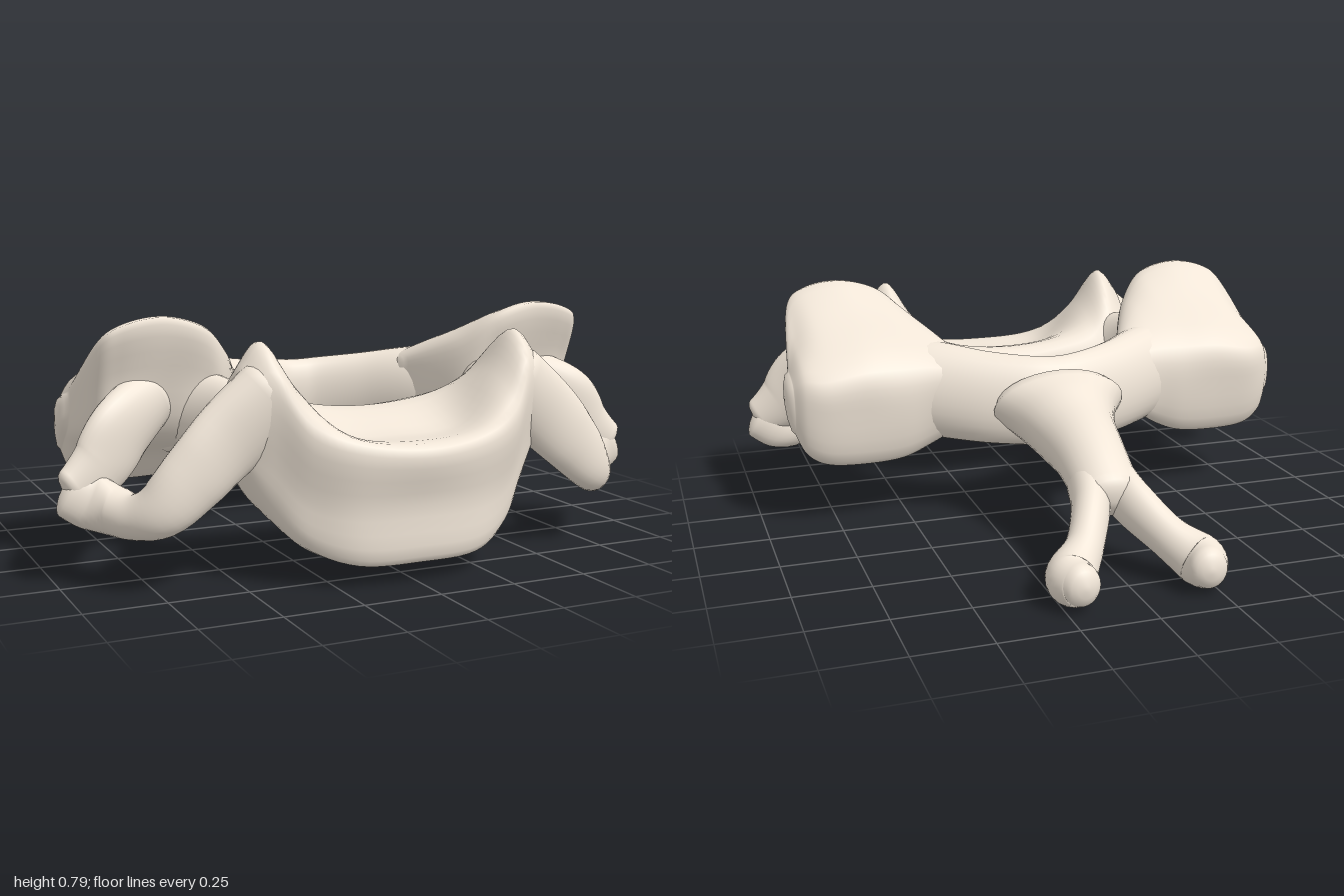
import * as THREE from 'three';

const bone = new THREE.MeshStandardMaterial({ color: 0xf0e5d7 });
const V = (x, y, z) => new THREE.Vector3(x, y, z);

// Catmull-Rom through rows of numbers, t in 0..1
function spline(rows, t) {
  const n = rows.length - 1;
  const i = Math.min(Math.floor(t * n), n - 1), f = t * n - i;
  const a = rows[Math.max(i - 1, 0)], b = rows[i], c = rows[i + 1], d = rows[Math.min(i + 2, n)];
  return b.map((_, k) => 0.5 * (2 * b[k] + (c[k] - a[k]) * f
    + (2 * a[k] - 5 * b[k] + 4 * c[k] - d[k]) * f * f
    + (3 * b[k] - a[k] - 3 * c[k] + d[k]) * f * f * f));
}

// Closed smooth skin over rings of points; faces are turned outward by signed volume
function skin(rings) {
  const m = rings[0].length, pts = rings.flat(), idx = [];
  for (let r = 0; r < rings.length - 1; r++) {
    for (let j = 0; j < m; j++) {
      const a = r * m + j, b = r * m + (j + 1) % m;
      idx.push(a, b, a + m, b, b + m, a + m);
    }
  }
  const last = (rings.length - 1) * m;
  for (const [start, flip] of [[0, false], [last, true]]) {
    const mid = V(0, 0, 0);
    for (let j = 0; j < m; j++) mid.addScaledVector(pts[start + j], 1 / m);
    const c = pts.push(mid) - 1;
    for (let j = 0; j < m; j++) {
      const a = start + j, b = start + (j + 1) % m;
      if (flip) idx.push(c, a, b); else idx.push(c, b, a);
    }
  }
  let volume = 0;
  for (let i = 0; i < idx.length; i += 3) {
    volume += pts[idx[i]].dot(V(0, 0, 0).crossVectors(pts[idx[i + 1]], pts[idx[i + 2]]));
  }
  if (volume < 0) idx.reverse();
  const g = new THREE.BufferGeometry().setFromPoints(pts);
  g.setIndex(idx);
  g.computeVertexNormals();
  return g;
}

// Limb of elliptical sections; rows are x, y, z, radius along ref, radius across
function limb(rows, ref = V(0, 1, 0), side = 1, steps = 36, m = 28) {
  const at = t => spline(rows, t), rings = [];
  const ring = (t, scale, shift) => {
    const p = at(t), q0 = at(Math.max(t - 0.01, 0)), q1 = at(Math.min(t + 0.01, 1));
    const T = V(q1[0] - q0[0], q1[1] - q0[1], q1[2] - q0[2]).normalize();
    const u = ref.clone().addScaledVector(T, -ref.dot(T)).normalize();
    const v = V(0, 0, 0).crossVectors(T, u);
    const push = shift * Math.min(p[3], p[4]) * 0.65;
    rings.push(Array.from({ length: m }, (_, j) => {
      const a = j / m * Math.PI * 2;
      const w = V(p[0], p[1], p[2]).addScaledVector(T, push)
        .addScaledVector(u, Math.cos(a) * p[3] * scale)
        .addScaledVector(v, Math.sin(a) * p[4] * scale);
      w.x *= side;
      return w;
    }));
  };
  const cap = [0.15, 0.5, 0.85, 1.2];
  for (const a of cap) ring(0, Math.sin(a), -Math.cos(a));
  for (let i = 0; i <= steps; i++) ring(i / steps, 1, 0);
  for (const a of cap.slice().reverse()) ring(1, Math.sin(a), Math.cos(a));
  return skin(rings);
}

// Loft along x; each section is [x, [z, y pairs]]
function loftX(sections, side = 1, steps = 48, m = 40) {
  const rows = sections.map(([x, zy]) => [x, ...zy]);
  const rings = [];
  const ring = (t, scale, dx) => {
    const [x, ...zy] = spline(rows, t);
    const loop = [];
    for (let i = 0; i < zy.length; i += 2) loop.push(V((x + dx) * side, zy[i + 1], zy[i]));
    const mid = loop.reduce((s, p) => s.addScaledVector(p, 1 / loop.length), V(0, 0, 0));
    const curve = new THREE.CatmullRomCurve3(loop, true, 'centripetal');
    rings.push(Array.from({ length: m }, (_, j) =>
      curve.getPoint(j / m).sub(mid).multiplyScalar(scale).add(mid)));
  };
  const cap = [0.2, 0.6, 1.1];
  for (const a of cap) ring(0, Math.sin(a), -Math.cos(a) * 0.025);
  for (let i = 0; i <= steps; i++) ring(i / steps, 1, 0);
  for (const a of cap.slice().reverse()) ring(1, Math.sin(a), Math.cos(a) * 0.025);
  return skin(rings);
}

export function createModel() {
  const group = new THREE.Group();
  const add = (name, geometry) => {
    const mesh = new THREE.Mesh(geometry, bone);
    mesh.name = name;
    group.add(mesh);
  };

  // Body: saddle-shaped top with a raised hook on either side
  const half = [
    [0, [.88, .07, .90, .25, .93, .42, .72, .43, .46, .48, .42, .32, .42, .17, .68, .16]],
    [.2, [.86, .075, .88, .25, .90, .44, .72, .45, .47, .50, .42, .32, .42, .17, .66, .16]],
    [.34, [.79, .13, .82, .28, .85, .50, .69, .60, .49, .54, .42, .36, .43, .20, .62, .17]],
    [.43, [.73, .24, .77, .38, .79, .62, .68, .73, .55, .64, .45, .46, .46, .29, .60, .23]],
    [.50, [.70, .36, .73, .43, .76, .57, .68, .66, .57, .58, .49, .48, .52, .39, .60, .34]],
  ];
  add('body', loftX([...half.slice(1).reverse().map(([x, p]) => [-x, p]), ...half]));

  // Lamina: arch closing the canal at the back
  const arch = [[.56, .47, .21, .14, .12], [.42, .455, .125, .165, .115],
    [.25, .435, .012, .16, .085], [.1, .425, -.055, .155, .07]];
  add('lamina', limb([...arch, [0, .42, -.07, .155, .07],
    ...arch.slice().reverse().map(([x, ...r]) => [-x, ...r])], V(0, 1, .2), 1, 48));

  // Rear spine, flaring into the lamina and tapering backward
  add('rearSpine', limb([[0, .415, -.1, .135, .235], [0, .385, -.17, .14, .18],
    [0, .355, -.26, .13, .145], [0, .325, -.38, .117, .122],
    [0, .285, -.48, .105, .113], [0, .245, -.57, .085, .11]]));

  for (const [label, s] of [['left', 1], ['right', -1]]) {
    // Forked tip of the spine
    add(label + 'SpineFork', limb([[.045, .26, -.5, .09, .066], [.075, .21, -.61, .082, .062],
      [.14, .14, -.73, .07, .06], [.21, .087, -.81, .082, .08], [.205, .09, -.885, .066, .06]],
    V(0, 1, 0), s));

    // Articular pillar: upper facet tilted forward, lower facet facing back
    add(label + 'ArticularPillar', loftX([
      [.32, [.17, .58, .10, .59, .00, .54, -.02, .45, .01, .34, .07, .36, .13, .42, .16, .50]],
      [.42, [.37, .66, .22, .66, .02, .55, .00, .42, .05, .27, .20, .36, .33, .41, .38, .50]],
      [.52, [.46, .75, .25, .69, .02, .55, .00, .40, .05, .23, .20, .33, .38, .41, .43, .58]],
      [.65, [.47, .79, .25, .69, .01, .55, .00, .40, .05, .22, .20, .33, .36, .42, .43, .60]],
      [.78, [.47, .77, .25, .67, .01, .53, .00, .40, .05, .23, .20, .33, .38, .41, .42, .59]],
      [.85, [.42, .71, .25, .62, .04, .53, .02, .42, .06, .27, .18, .36, .32, .44, .38, .57]],
      [.885, [.20, .53, .16, .53, .08, .50, .06, .42, .08, .34, .13, .38, .18, .43, .20, .48]],
    ], s));

    // Pedicle joining body and pillar
    add(label + 'Pedicle', limb([[.41, .44, .58, .13, .1], [.475, .47, .44, .13, .075],
      [.54, .5, .3, .13, .1]], V(0, 1, 0), s));

    // Front bar of the side wing, sweeping down and round to the outer tip
    add(label + 'WingFrontBar', limb([[.41, .56, .71, .13, .085], [.54, .46, .71, .12, .06],
      [.65, .355, .71, .105, .058], [.74, .265, .69, .085, .062], [.8, .23, .62, .068, .065],
      [.84, .235, .54, .075, .07], [.9, .26, .5, .085, .05], [.96, .29, .495, .075, .04]],
    V(0, 1, 0), s));

    // Rear bar of the side wing, rising from the tip to the pillar
    add(label + 'WingRearBar', limb([[.95, .3, .495, .07, .04], [.87, .355, .475, .1, .05],
      [.79, .45, .44, .12, .06], [.68, .53, .36, .1, .08]], V(0, 1, 0), s));
  }
  return group;
}
